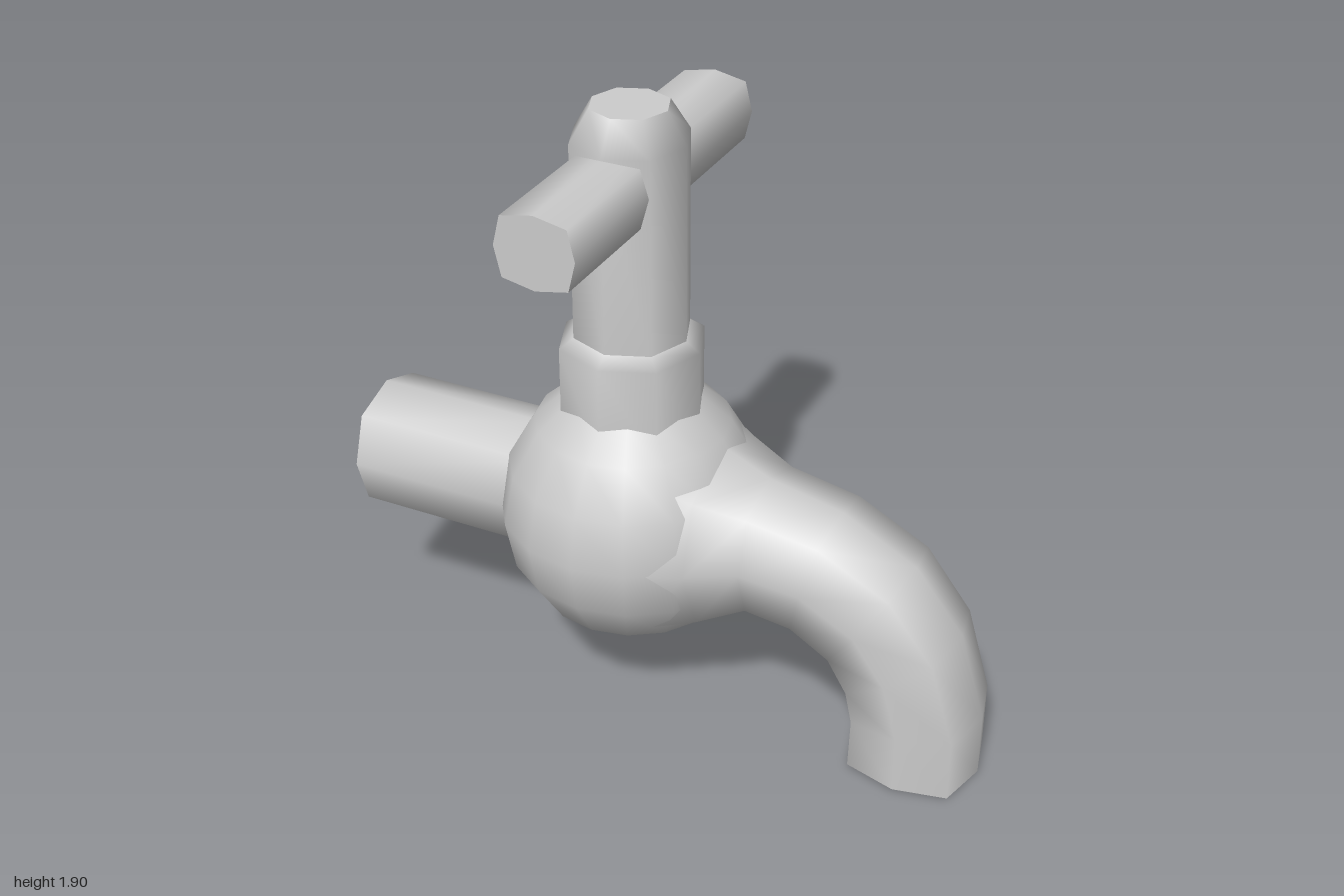
import * as THREE from 'three';

const V = (x, y, z) => new THREE.Vector3(x, y, z);
const SIDES = 8;

// Closed smooth tube through eight-sided rings { c, u, v, k }:
// centre, two half-axes (u x v points along the path), and corner fullness k.
function loft(rings) {
  const pos = [], idx = [];
  const ringPoint = ({ c, u, v, k = 0.72 }, j) => {
    const a = (j / SIDES) * Math.PI * 2;
    const s = j % 2 ? k / Math.SQRT1_2 : 1;
    return c.clone().addScaledVector(u, Math.cos(a) * s).addScaledVector(v, Math.sin(a) * s);
  };
  rings.forEach((r, i) => {
    for (let j = 0; j < SIDES; j++) {
      pos.push(...ringPoint(r, j).toArray());
      if (i === rings.length - 1) continue;
      const a = i * SIDES + j, b = i * SIDES + ((j + 1) % SIDES);
      idx.push(a, b, a + SIDES, b, b + SIDES, a + SIDES);
    }
  });
  // flat end caps with their own vertices
  [[rings[0], true], [rings[rings.length - 1], false]].forEach(([r, start]) => {
    const base = pos.length / 3;
    pos.push(...r.c.toArray());
    for (let j = 0; j < SIDES; j++) pos.push(...ringPoint(r, j).toArray());
    for (let j = 0; j < SIDES; j++) {
      const a = base + 1 + j, b = base + 1 + ((j + 1) % SIDES);
      if (start) idx.push(base, b, a);
      else idx.push(base, a, b);
    }
  });
  const g = new THREE.BufferGeometry();
  g.setAttribute('position', new THREE.Float32BufferAttribute(pos, 3));
  g.setIndex(idx);
  g.computeVertexNormals();
  return g;
}

export function createModel() {
  const group = new THREE.Group();
  const mat = new THREE.MeshStandardMaterial({ color: 0xcccccc });
  const axisX = -0.14;
  const add = (name, geometry) => {
    const m = new THREE.Mesh(geometry, mat);
    m.name = name;
    group.add(m);
    return m;
  };

  // Round valve body, drawn up slightly to meet the collar
  const profile = [[0, 0.225], [0.153, 0.255], [0.283, 0.335], [0.37, 0.47], [0.4, 0.625],
    [0.37, 0.78], [0.29, 0.92], [0.2, 1.0]].map(([r, y]) => new THREE.Vector2(r, y));
  add('body', new THREE.LatheGeometry(profile, 16)).position.x = axisX;

  // Inlet pipe
  add('inletPipe', loft([-1, -0.42].map(x => (
    { c: V(x, 0.625, 0), u: V(0, 0.197, 0), v: V(0, 0, 0.195), k: 0.75 }))));

  // Curved spout: top point, bottom point, half width, corner fullness
  const spout = [
    [0.02, 0.98, 0.02, 0.27, 0.355, 0.71],
    [0.15, 0.90, 0.17, 0.335, 0.29, 0.72],
    [0.30, 0.83, 0.30, 0.415, 0.215, 0.75],
    [0.53, 0.78, 0.43, 0.405, 0.197, 0.79],
    [0.76, 0.66, 0.54, 0.34, 0.195, 0.8],
    [0.91, 0.47, 0.59, 0.25, 0.195, 0.8],
    [0.99, 0.20, 0.605, 0.17, 0.195, 0.8],
    [0.99, 0.00, 0.60, 0.015, 0.195, 0.8],
  ];
  add('spout', loft(spout.map(([tx, ty, bx, by, w, k]) => ({
    c: V((tx + bx) / 2, (ty + by) / 2, 0),
    u: V((tx - bx) / 2, (ty - by) / 2, 0),
    v: V(0, 0, w), k,
  }))));

  // Upright parts as [height, radius] rings
  const upright = rows => loft(rows.map(([y, r]) => (
    { c: V(axisX, y, 0), u: V(0, 0, r), v: V(r, 0, 0) })));
  add('collar', upright([[0.9, 0.215], [1.185, 0.215], [1.215, 0.172]]));
  add('stem', upright([[1.18, 0.172], [1.81, 0.172], [1.905, 0.115]]));

  // Cross handle
  add('handle', loft([-0.54, 0.54].map(z => (
    { c: V(axisX, 1.698, z), u: V(0.12, 0, 0), v: V(0, 0.108, 0), k: 0.82 }))));

  return group;
}
